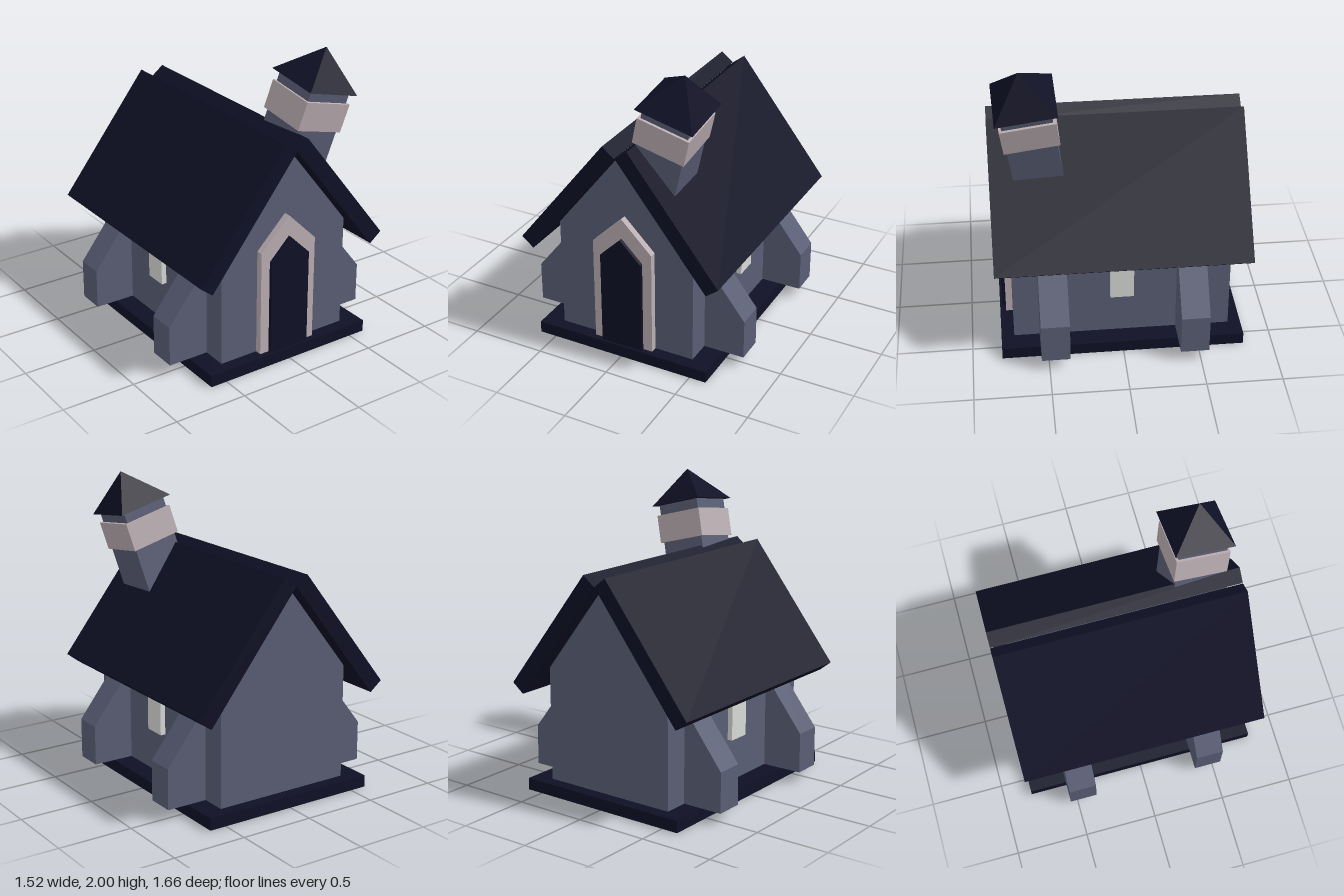
import * as THREE from 'three';

const material = (name, color) => {
  const m = new THREE.MeshStandardMaterial({ color });
  m.name = name;
  return m;
};

export function createModel() {
  const stone = material('slate stone', 0x5a5e75);
  const trim = material('pale trim', 0xbaadb1);
  const dark = material('dark navy', 0x0f1025);
  const glass = material('pale window', 0xd8dad6);

  const model = new THREE.Group();
  model.name = 'chapel';

  const add = (name, geometry, mat, parent = model) => {
    const mesh = new THREE.Mesh(geometry, mat);
    mesh.name = name;
    parent.add(mesh);
    return mesh;
  };
  const box = (w, h, d, x, y, z) => new THREE.BoxGeometry(w, h, d).translate(x, y, z);
  const polygon = (points) => new THREE.Shape(points.map(([x, y]) => new THREE.Vector2(x, y)));
  const extrude = (shape, z0, z1) =>
    new THREE.ExtrudeGeometry(shape, { depth: z1 - z0, bevelEnabled: false }).translate(0, 0, z0);
  // Upright outline with a pointed top
  const pointed = (half, bottom, shoulder, apex) =>
    [[-half, bottom], [half, bottom], [half, shoulder], [0, apex], [-half, shoulder]];

  // Plinth and gabled body
  add('plinth', box(1.23, 0.08, 1.61, 0, 0.04, 0), dark);
  add('walls', extrude(polygon(pointed(0.48, 0.08, 0.845, 1.46)), -0.72, 0.72), stone);

  // Pointed doorway: frame around a slightly proud door
  const frame = polygon([
    [-0.21, 0.08], [-0.145, 0.08], [-0.145, 0.725], [0, 0.87], [0.145, 0.725],
    [0.145, 0.08], [0.21, 0.08], [0.21, 0.8], [0, 1.01], [-0.21, 0.8],
  ]);
  add('doorFrame', extrude(frame, 0.72, 0.765), trim);
  add('door', extrude(polygon(pointed(0.145, 0.08, 0.725, 0.87)), 0.72, 0.79), dark);

  for (const side of [-1, 1]) {
    const label = side > 0 ? 'left' : 'right';

    // Roof slab, square-ended, meeting its twin at the ridge
    const slab = [[0.002, 1.46], [0.622, 0.667], [0.705, 0.732], [0.085, 1.525]];
    add(label + 'RoofSlab', extrude(polygon(slab.map(([x, y]) => [x * side, y])), -0.83, 0.83), dark);

    // Sloped buttresses near the front and back corners
    const buttress = [[0.47, 0.08], [0.76, 0.08], [0.76, 0.35], [0.48, 0.71], [0.47, 0.71]];
    for (const z of [-0.457, 0.457]) {
      const shape = polygon(buttress.map(([x, y]) => [x * side, y]));
      add(label + (z > 0 ? 'Front' : 'Back') + 'Buttress', extrude(shape, z - 0.094, z + 0.094), stone);
    }

    // Pointed side window
    const pane = extrude(polygon(pointed(0.078, 0.375, 0.705, 0.785)), 0.47, 0.515);
    add(label + 'Window', pane.rotateY(side * Math.PI / 2), glass);
  }

  // Leaning turret, built about the foot of its cap
  const turret = new THREE.Group();
  turret.name = 'turret';
  turret.position.set(0.31, 1.775, 0.591);
  turret.rotation.set(0.135, 0, -0.26);
  model.add(turret);
  add('turretShaft', box(0.32, 0.65, 0.32, 0, -0.325, 0), stone, turret);
  add('turretBand', box(0.355, 0.19, 0.355, 0, -0.163, 0), trim, turret);
  const cap = new THREE.ConeGeometry(0.278, 0.236, 4).rotateY(Math.PI / 4).translate(0, 0.118, 0).toNonIndexed();
  cap.computeVertexNormals();
  add('turretCap', cap, dark, turret);

  return model;
}
